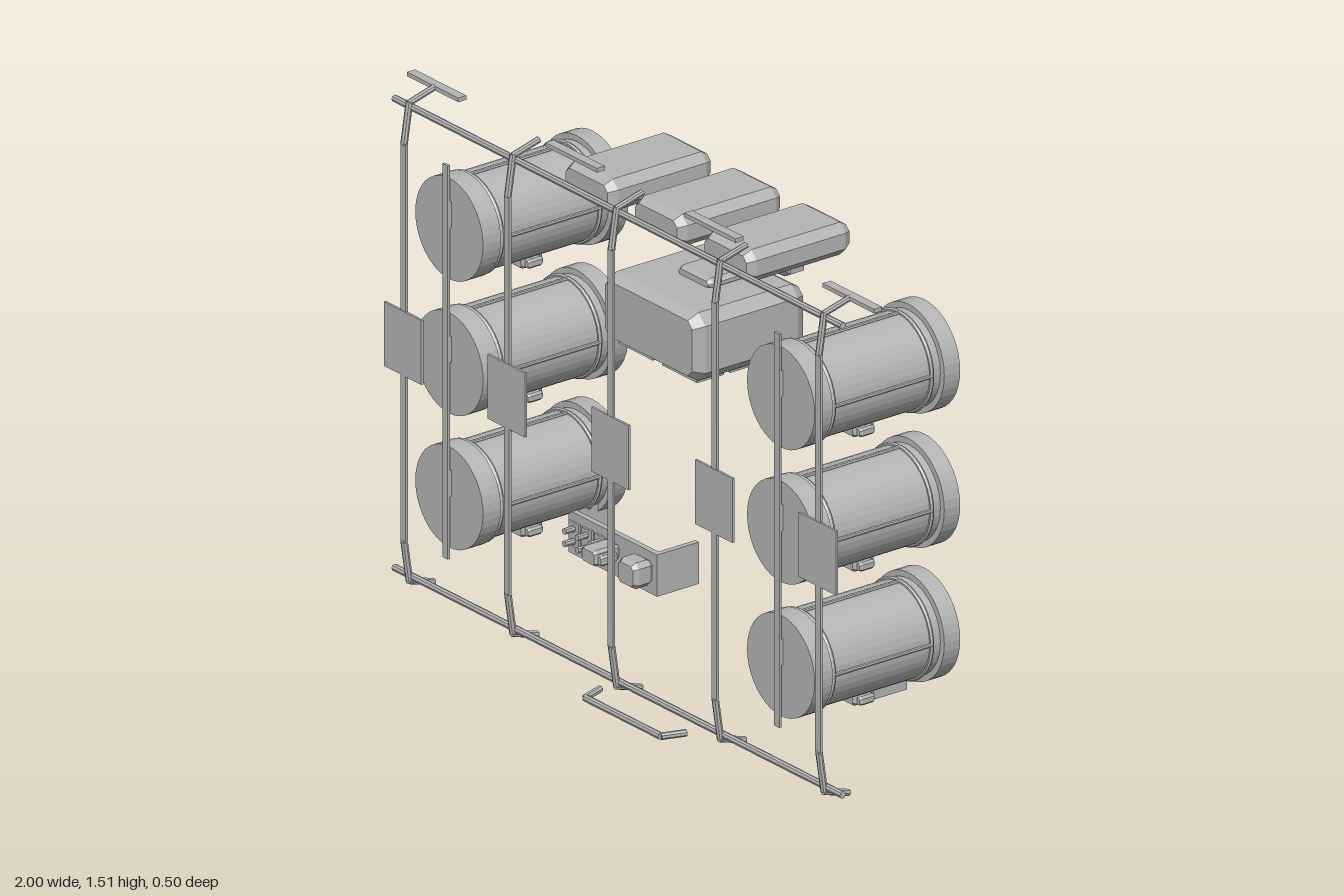
import * as THREE from 'three';

const grey = new THREE.MeshStandardMaterial({ color: 0xb4b4b4, flatShading: true });
grey.name = 'plain grey';

export function createModel() {
  const model = new THREE.Group();

  const add = (parent, name, geometry, x = 0, y = 0, z = 0) => {
    const mesh = new THREE.Mesh(geometry, grey);
    mesh.name = name;
    mesh.position.set(x, y, z);
    parent.add(mesh);
    return mesh;
  };
  const group = (name, x = 0, y = 0, z = 0) => {
    const g = new THREE.Group();
    g.name = name;
    g.position.set(x, y, z);
    model.add(g);
    return g;
  };
  // box given by its limits
  const box = (parent, name, x0, x1, y0, y1, z0, z1) =>
    add(parent, name, new THREE.BoxGeometry(x1 - x0, y1 - y0, z1 - z0), (x0 + x1) / 2, (y0 + y1) / 2, (z0 + z1) / 2);
  // box with chamfered edges, given by its limits
  const chamferBox = (parent, name, x0, x1, y0, y1, z0, z1, c) => {
    const w = (x1 - x0) / 2, h = (y1 - y0) / 2, d = z1 - z0, k = c * 0.6;
    const s = new THREE.Shape([[-w + c, -h], [w - c, -h], [w, -h + c], [w, h - c], [w - c, h], [-w + c, h], [-w, h - c], [-w, -h + c]]
      .map(([x, y]) => new THREE.Vector2(x, y)));
    const geo = new THREE.ExtrudeGeometry(s, { depth: d - 2 * c, bevelThickness: c, bevelSize: k, bevelOffset: -k, bevelSegments: 1 });
    geo.translate(0, 0, c);
    return add(parent, name, geo, (x0 + x1) / 2, (y0 + y1) / 2, z0);
  };
  // round bar between two points
  const rod = (parent, name, a, b, r) => {
    const p = new THREE.Vector3(...a), q = new THREE.Vector3(...b), dir = q.clone().sub(p);
    const mesh = add(parent, name, new THREE.CylinderGeometry(r, r, dir.length(), 8));
    mesh.position.copy(p).add(q).multiplyScalar(0.5);
    mesh.quaternion.setFromUnitVectors(new THREE.Vector3(0, 1, 0), dir.normalize());
    return mesh;
  };
  // cylinder lying along z
  const disc = (parent, name, r, z0, z1) =>
    add(parent, name, new THREE.CylinderGeometry(r, r, z1 - z0, 40).rotateX(Math.PI / 2), 0, 0, (z0 + z1) / 2);

  // drums in two columns of three
  for (const x of [-0.71, 0.71]) {
    for (const y of [1.178, 0.792, 0.407]) {
      const drum = group('drum', x, y);
      disc(drum, 'drumBody', 0.136, -0.2, 0.18);
      disc(drum, 'drumFrontRim', 0.145, 0.172, 0.232);
      disc(drum, 'drumRearRim', 0.153, -0.248, -0.195);
      for (const z of [-0.165, 0.163])
        add(drum, 'drumHoop', new THREE.TorusGeometry(0.137, 0.007, 6, 40), 0, 0, z);
      for (let i = 0; i < 4; i++) {
        const a = i * Math.PI / 2, cx = Math.cos(a) * 0.137, cy = Math.sin(a) * 0.137;
        rod(drum, 'drumRib', [cx, cy, -0.165], [cx, cy, 0.165], 0.006);
      }
      // latch below the drum
      chamferBox(drum, 'latch', -0.028, 0.028, -0.17, -0.13, -0.06, 0.01, 0.008);
      for (const s of [-1, 1])
        chamferBox(drum, 'latchEnd', s * 0.032 - 0.012, s * 0.032 + 0.012, -0.166, -0.14, -0.05, 0, 0.006);
      box(drum, 'poleBracket', -0.01, 0.01, 0.005, 0.08, 0.228, 0.242);
    }
    box(model, 'drumPole', x - 0.011, x + 0.011, 0.235, 1.365, 0.238, 0.246);
  }

  // upright rails with bent ends and display plates
  for (const x of [-0.888, -0.444, 0, 0.444, 0.888]) {
    const rail = group('rail', x);
    box(rail, 'railStrip', -0.011, 0.011, 0.22, 1.366, 0.24, 0.248);
    rod(rail, 'railUpperBend', [0, 1.362, 0.244], [0, 1.48, 0.226], 0.01);
    rod(rail, 'railTopArm', [0, 1.476, 0.23], [0, 1.5, 0.14], 0.009);
    rod(rail, 'railLowerBend', [0, 0.225, 0.244], [0, 0.105, 0.226], 0.01);
    rod(rail, 'railBottomArm', [0, 0.106, 0.23], [0, 0.08, 0.145], 0.01);
    box(rail, 'displayPlate', -0.08, 0.08, 0.7, 0.885, 0.242, 0.249);
  }

  // long cross bars and the flat bars along the top
  rod(model, 'topCrossBar', [-0.96, 1.464, 0.22], [0.96, 1.464, 0.22], 0.01);
  rod(model, 'bottomCrossBar', [-0.96, 0.117, 0.22], [0.96, 0.117, 0.22], 0.01);
  for (const x of [-0.89, -0.297, 0.297, 0.89])
    box(model, 'topFlatBar', x - 0.11, x + 0.11, 1.494, 1.506, 0.12, 0.147);

  // floor handle with splayed ends
  rod(model, 'floorHandleBar', [-0.162, 0.01, 0.205], [0.162, 0.01, 0.205], 0.01);
  for (const s of [-1, 1])
    rod(model, 'floorHandleEnd', [s * 0.162, 0.01, 0.205], [s * 0.185, 0.01, 0.138], 0.01);

  // upper cases
  for (const x of [-0.297, 0, 0.297]) {
    chamferBox(model, 'upperCase', x - 0.104, x + 0.104, 1.352, 1.445, -0.25, 0.095, 0.024);
    for (const s of [-1, 1])
      box(model, 'upperCaseFoot', x + s * 0.075 - 0.012, x + s * 0.075 + 0.012, 1.342, 1.356, -0.1, -0.055);
  }
  chamferBox(model, 'smallCase', 0.095, 0.198, 1.23, 1.36, -0.25, -0.177, 0.018);

  // central unit with a lid plate and underside panels
  chamferBox(model, 'centralUnit', -0.205, 0.205, 1.005, 1.2, -0.25, 0.12, 0.03);
  chamferBox(model, 'lidPlate', -0.07, 0.07, 1.19, 1.224, -0.16, -0.03, 0.012);
  for (const x of [-0.095, 0.095])
    for (const z of [-0.175, -0.065, 0.045])
      box(model, 'undersidePanel', x - 0.075, x + 0.075, 0.996, 1.01, z - 0.045, z + 0.045);

  // low consoles with end flanges
  for (const s of [-1, 1]) {
    const c = group('console', s * 0.445, 0.245);
    box(c, 'consolePanel', -0.19, 0.19, -0.06, 0.06, -0.125, -0.108);
    for (const e of [-1, 1])
      box(c, 'consoleFlange', e * 0.182 - 0.008, e * 0.182 + 0.008, -0.06, 0.06, -0.248, -0.108);
    chamferBox(c, 'consoleLatch', -0.03, 0.03, -0.01, 0.035, -0.11, -0.025, 0.008);
    for (const e of [-1, 1])
      chamferBox(c, 'consoleLatchEnd', e * 0.034 - 0.012, e * 0.034 + 0.012, -0.006, 0.024, -0.09, -0.035, 0.006);
    if (s < 0) {
      // switches and a square control
      for (const x of [-0.16, -0.105, -0.05]) {
        box(c, 'switchPlate', x - 0.022, x + 0.022, -0.035, 0.035, -0.11, -0.102);
        for (const y of [-0.018, 0.018])
          rod(c, 'switchKnob', [x, y, -0.105], [x, y, -0.07], 0.009);
      }
      chamferBox(c, 'squareControl', 0.095, 0.175, -0.035, 0.04, -0.11, -0.045, 0.014);
    } else {
      for (const x of [0.035, 0.075])
        box(c, 'smallClip', x - 0.008, x + 0.008, -0.042, -0.026, -0.11, -0.1);
    }
  }

  return model;
}
